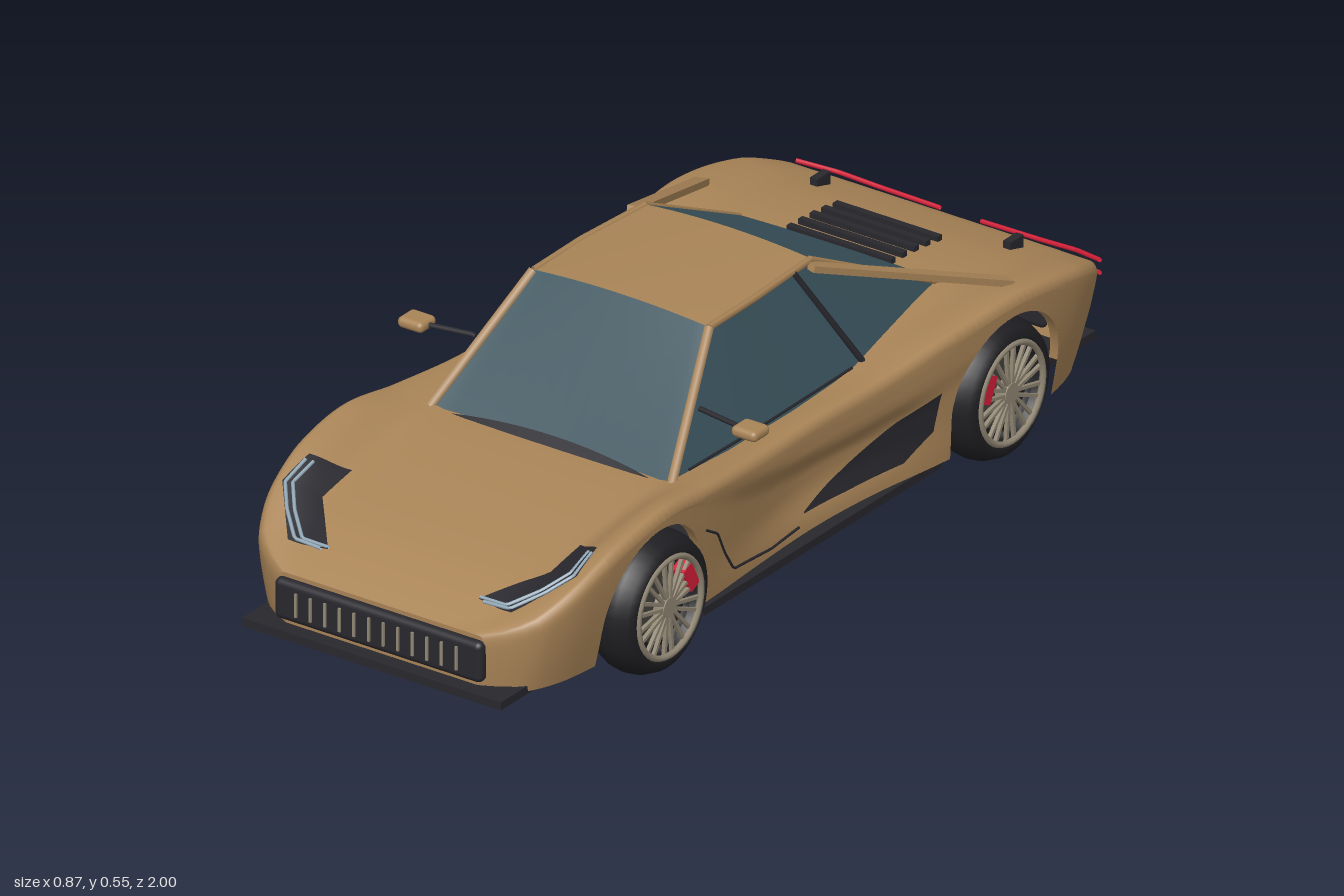
import * as THREE from 'three';
import { RoundedBoxGeometry } from 'three/addons/geometries/RoundedBoxGeometry.js';

const mat = (name, color) => new THREE.MeshStandardMaterial({ name, color, side: THREE.DoubleSide });
const V = (x, y, z) => new THREE.Vector3(x, y, z);
const { lerp, clamp, smoothstep } = THREE.MathUtils;

// Smooth curve through [z, value] pairs, sorted by rising z
function curve(p) {
  const slope = i => {
    const a = p[Math.max(i - 1, 0)], b = p[Math.min(i + 1, p.length - 1)];
    return (b[1] - a[1]) / (b[0] - a[0]);
  };
  return z => {
    z = clamp(z, p[0][0], p[p.length - 1][0]);
    let i = 0;
    while (i < p.length - 2 && z > p[i + 1][0]) i++;
    const d = p[i + 1][0] - p[i][0], t = (z - p[i][0]) / d, u = 1 - t;
    return (1 + 2 * t) * u * u * p[i][1] + t * u * u * d * slope(i)
      + t * t * (3 - 2 * t) * p[i + 1][1] - t * t * u * d * slope(i + 1);
  };
}

// Body lines: half width, fender height, centre height, inward lean of the sides
const width = curve([[-.97, .335], [-.94, .362], [-.88, .4], [-.78, .425], [-.6, .43], [-.4, .413], [-.2, .386], [0, .375],
  [.2, .378], [.4, .39], [.6, .4], [.8, .386], [.9, .347], [.94, .3], [.965, .25]]);
const fender = curve([[-.97, .245], [-.9, .29], [-.8, .33], [-.6, .363], [-.4, .35], [-.2, .322], [0, .318],
  [.2, .318], [.4, .333], [.55, .35], [.7, .328], [.8, .288], [.9, .232], [.965, .19]]);
const centre = curve([[-.97, .25], [-.9, .287], [-.75, .328], [-.58, .345], [-.4, .335], [0, .3], [.4, .307],
  [.6, .29], [.8, .254], [.9, .218], [.965, .187]]);
const lean = curve([[-.97, .06], [-.8, .04], [-.57, .02], [0, .008], [.5, .02], [.75, .035], [.965, .02]]);
const ROUND = .022, EDGE = .95, SILL = .068;
const ARCHES = [{ z: .58, r: .163 }, { z: -.57, r: .171 }];

function topY(x, z) {
  const f = Math.min(Math.abs(x) / width(z), 1), s = fender(z), c = centre(z);
  if (f < EDGE) return c + (s - c) * smoothstep(f / EDGE, .7, 1);
  return s - ROUND * (1 - Math.sqrt(Math.max(0, 1 - ((f - EDGE) / (1 - EDGE)) ** 2)));
}
// Sides lean inward, with a scooped door under a swept crease
function sideX(y, z) {
  const top = fender(z) - ROUND, v = clamp((top - y) / (top - SILL), 0, 1);
  const crease = .245 + .35 * (z + .1) ** 2;
  const scoop = .036 * Math.exp(-(((z + .03) / .27) ** 2)) * smoothstep(crease - y, 0, .055) * (1 - .65 * smoothstep(v, .6, 1));
  return width(z) - lean(z) * v ** 1.5 - scoop;
}
function lowY(z) {
  for (const a of ARCHES) if (Math.abs(z - a.z) < a.r) return .15 + Math.sqrt(a.r ** 2 - (z - a.z) ** 2);
  return SILL;
}
// One cross-section from the right sill over the top to the left sill
function section(z) {
  const half = [], tail = smoothstep(-z, .85, .97) * .28;
  const add = (x, y) => half.push(V(x, y, z + tail * (.25 - y)));
  for (const f of [0, .15, .3, .45, .57, .67, .72, .77, .83, .89, .95, .97, .985, .996, 1]) add(f * width(z), topY(f * width(z), z));
  const top = fender(z) - ROUND, low = lowY(z);
  for (let i = 1; i <= 14; i++) { const y = lerp(top, low, i / 14); add(sideX(y, z), y); }
  return [...half.slice(1).reverse().map(p => V(-p.x, p.y, p.z)), ...half];
}

export function createModel() {
  const car = new THREE.Group();
  car.name = 'sportsCar';
  const gold = mat('bronzePaint', 0xa98457), glass = mat('tealGlass', 0x3a535d), black = mat('blackTrim', 0x27272d),
    rubber = mat('tyreRubber', 0x1f1f23), alloy = mat('alloy', 0x918774), steel = mat('brakeSteel', 0x45423e),
    red = mat('red', 0xd41f38), silver = mat('lampSilver', 0x93a9b8);

  const add = (name, geo, m, x = 0, y = 0, z = 0, parent = car) => {
    const o = new THREE.Mesh(geo, m);
    o.name = name; o.position.set(x, y, z); parent.add(o);
    return o;
  };
  const box = (name, w, h, d, m, x, y, z, parent) => add(name, new THREE.BoxGeometry(w, h, d), m, x, y, z, parent);
  // Smooth sheet through rows of points
  const sheet = (name, rows, m) => {
    const n = rows[0].length, idx = [];
    for (let r = 0; r < rows.length - 1; r++) for (let c = 0; c < n - 1; c++) {
      const a = r * n + c;
      idx.push(a, a + 1, a + n, a + 1, a + n + 1, a + n);
    }
    const g = new THREE.BufferGeometry().setFromPoints(rows.flat());
    g.setIndex(idx); g.computeVertexNormals();
    return add(name, g, m);
  };
  // Patch between two edges, each point passed through a placing rule
  const patch = (name, a, b, m, place, n = 18, k = 8) => {
    const rows = [], line = (e, t) => {
      const s = t * (e.length - 1), i = Math.min(Math.floor(s), e.length - 2);
      return e[i].map((v, j) => lerp(v, e[i + 1][j], s - i));
    };
    for (let i = 0; i <= n; i++) {
      const p = line(a, i / n), q = line(b, i / n), row = [];
      for (let j = 0; j <= k; j++) row.push(place(...p.map((v, c) => lerp(v, q[c], j / k))));
      rows.push(row);
    }
    sheet(name, rows, m);
  };
  const tube = (name, pts, r, m) => {
    const path = new THREE.CurvePath();
    for (let i = 1; i < pts.length; i++) path.add(new THREE.LineCurve3(pts[i - 1], pts[i]));
    add(name, new THREE.TubeGeometry(path, (pts.length - 1) * 8, r, 6), m);
  };
  const beam = (name, a, b, w, h, m) => {
    const o = box(name, w, h, a.distanceTo(b), m);
    o.position.copy(a).lerp(b, .5); o.lookAt(b);
  };

  // Body shell, with extra sections around the wheel arches
  const zs = [];
  for (let i = 0; i <= 96; i++) zs.push(lerp(-.97, .965, i / 96));
  for (const a of ARCHES) {
    for (let i = 0; i <= 28; i++) zs.push(a.z + a.r * .9999 * Math.cos(Math.PI * i / 28));
    zs.push(a.z + a.r + .0005, a.z - a.r - .0005);
  }
  zs.sort((a, b) => a - b);
  sheet('bodyShell', zs.map(section), gold);
  for (const [name, z] of [['tailPanel', -.97], ['nosePanel', .965]]) {
    const s = section(z), n = s.length;
    sheet(name, s.slice(0, (n + 1) / 2).map((p, i) => [p, s[n - 1 - i]]), gold);
  }

  // Floor and underside fins
  box('floor', .63, .018, 2, black, 0, .071, 0);
  for (let i = -2.5; i <= 2.5; i++) box('diffuserFin', .006, .008, .17, black, i * .086, .059, -.91);

  // Front grille and bars
  add('frontGrille', new RoundedBoxGeometry(.505, .09, .03, 3, .014), black, 0, .136, .968);
  for (let i = 0; i < 12; i++) box('grilleBar', .0055, .052, .006, alloy, (i - 5.5) * .0355, .136, .984);

  // Rear grille, slats and exhausts
  add('rearGrille', new RoundedBoxGeometry(.5, .095, .06, 3, .014), black, 0, .14, -.948);
  for (let i = 0; i < 12; i++) box('rearSlat', .006, .06, .008, rubber, (i - 5.5) * .036, .14, -.978);
  for (const s of [-1, 1]) {
    add('exhaust', new THREE.CylinderGeometry(.027, .027, .04, 20), black, s * .105, .145, -.975).rotation.x = Math.PI / 2;
    add('exhaustRing', new THREE.TorusGeometry(.028, .0035, 6, 24), silver, s * .105, .145, -.993);
  }

  // Deck louvres
  for (let i = 0; i < 5; i++) box('louvre', .255, .012, .015, black, 0, centre(-.58 - i * .039) + .006, -.58 - i * .039);

  // Windscreen, rear window and crowned roof
  const span = (w, y, z, crown, bow) => Array.from({ length: 13 }, (_, i) => {
    const t = i / 6 - 1;
    return V(t * w, y + crown * (1 - t * t), z + bow * (1 - t * t));
  });
  const roofFront = span(.212, .535, .16, .012, .004), roofRear = span(.2, .535, -.2, .01, 0);
  sheet('windscreen', [span(.292, .302, .4, 0, -.012), roofFront], glass);
  sheet('roof', [roofFront, span(.212, .538, 0, .012, 0), roofRear], gold);
  sheet('rearWindow', [roofRear, span(.242, .342, -.58, .004, 0)], glass);
  sheet('cowl', [span(.25, .304, .405, .002, 0), span(.25, .306, .4, .016, -.016)], black);

  for (const s of [-1, 1]) {
    const P = (x, y, z) => V(s * x, y, z);
    // Side glass, pillars and buttress
    sheet('sideWindow', [
      [P(.292, .305, .4), P(.3, .31, .2), P(.302, .31, 0), P(.298, .315, -.22), P(.242, .34, -.57)],
      [P(.212, .535, .16), P(.212, .536, .08), P(.212, .537, -.03), P(.207, .537, -.13), P(.2, .535, -.2)]], glass);
    tube('frontPillar', [P(.294, .305, .398), P(.214, .533, .16)], .011, gold);
    tube('roofRail', [P(.213, .533, .16), P(.213, .535, 0), P(.201, .533, -.2)], .008, gold);
    tube('rearPillar', [P(.201, .533, -.2), P(.243, .342, -.575)], .007, gold);
    tube('doorPillar', [P(.209, .533, -.13), P(.298, .32, -.24)], .007, black);
    tube('windowSill', [P(.296, .318, .34), P(.303, .32, .1), P(.302, .323, -.2)], .003, black);
    beam('buttress', P(.214, .528, -.18), P(.374, .358, -.63), .03, .014, gold);

    // Mirrors
    tube('mirrorArm', [P(.275, .42, .275), P(.38, .415, .285)], .006, black);
    add('mirror', new RoundedBoxGeometry(.062, .024, .055, 3, .011), gold, s * .406, .415, .286);

    // Headlamps following the bonnet
    const onTop = (x, z) => P(x, topY(x, z) + .006, z);
    patch('headlamp', [[.278, .68], [.278, .78], [.183, .893]], [[.35, .725], [.358, .805], [.272, .905]], black, onTop);
    for (const d of [0, .013]) {
      tube('lampStrip', [[.348, .74], [.351, .805], [.314, .85], [.262, .896], [.198, .896]]
        .map(([x, z]) => onTop(x - d, z - d * .6)), .004, silver);
    }

    // Side intake, door seam, skirt
    const onSide = (z, y) => P(sideX(y, z) + .005, y, z);
    patch('sideIntake', [[.03, .113], [-.1, .15], [-.25, .205], [-.362, .23]], [[.03, .11], [-.1, .106], [-.265, .108], [-.345, .15]],
      black, onSide);
    tube('doorSeam', [[.41, .24], [.36, .21], [.325, .15], [.29, .1], [.15, .084], [.05, .088]].map(([z, y]) => P(sideX(y, z), y, z)), .003, black);
    box('sideSkirt', .04, .018, .8, black, s * .362, .057, .01);

    // Tail strips and deck blocks
    for (const y of [0, -.028]) {
      tube('tailStrip', [P(.05, .25 + y, -.983), P(.2, .254 + y, -.98), P(.29, .262 + y, -.972), P(.37, .277 + y, -.94)], .0048, red);
    }
    box('deckBlock', .018, .035, .045, black, s * .235, .312, -.835);

    for (const a of ARCHES) {
      // Turned-in arch lip
      const lip = Array.from({ length: 29 }, (_, i) => {
        const t = Math.PI * i / 28, y = .15 + a.r * Math.sin(t), z = a.z + a.r * Math.cos(t), x = sideX(y, z);
        return [P(x, y, z), P(x - .02, y, z)];
      });
      sheet('archLip', lip, gold);

      // Wheel, its outer side along local +y
      const wheel = new THREE.Group();
      wheel.name = a.z > 0 ? 'frontWheel' : 'rearWheel';
      wheel.position.set(s * .37, .15, a.z);
      wheel.rotation.z = -s * Math.PI / 2;
      car.add(wheel);
      const profile = [[.108, -.05], [.118, -.057], [.136, -.046], [.147, -.022], [.15, 0], [.147, .022], [.136, .046], [.118, .057], [.108, .05], [.104, .03]];
      add('tyre', new THREE.LatheGeometry(profile.map(q => new THREE.Vector2(...q)), 40), rubber, 0, 0, 0, wheel);
      add('wheelBack', new THREE.CylinderGeometry(.106, .106, .06, 32), rubber, 0, -.015, 0, wheel);
      add('brakeDisc', new THREE.CylinderGeometry(.08, .08, .01, 32), steel, 0, .018, 0, wheel);
      const rim = add('rim', new THREE.TorusGeometry(.106, .007, 6, 40), alloy, 0, .052, 0, wheel);
      rim.rotation.x = Math.PI / 2;
      add('hub', new THREE.CylinderGeometry(.022, .025, .024, 16), alloy, 0, .042, 0, wheel);
      for (let i = 0; i < 10; i++) {
        const arm = new THREE.Group();
        arm.name = 'spokePair';
        arm.rotation.y = i * Math.PI / 5;
        wheel.add(arm);
        for (const k of [-1, 1]) box('spoke', .09, .008, .007, alloy, .06, .048, k * .009, arm).rotation.y = -k * .1;
      }
      // Caliper, set towards the middle of the car
      const hold = new THREE.Group(), inward = a.z > 0 ? -1 : 1;
      hold.name = 'caliperMount';
      hold.rotation.y = Math.atan2(-inward * .9, -s * .45);
      wheel.add(hold);
      box('caliper', .03, .03, .06, red, .082, .038, 0, hold);
    }
  }
  return car;
}
